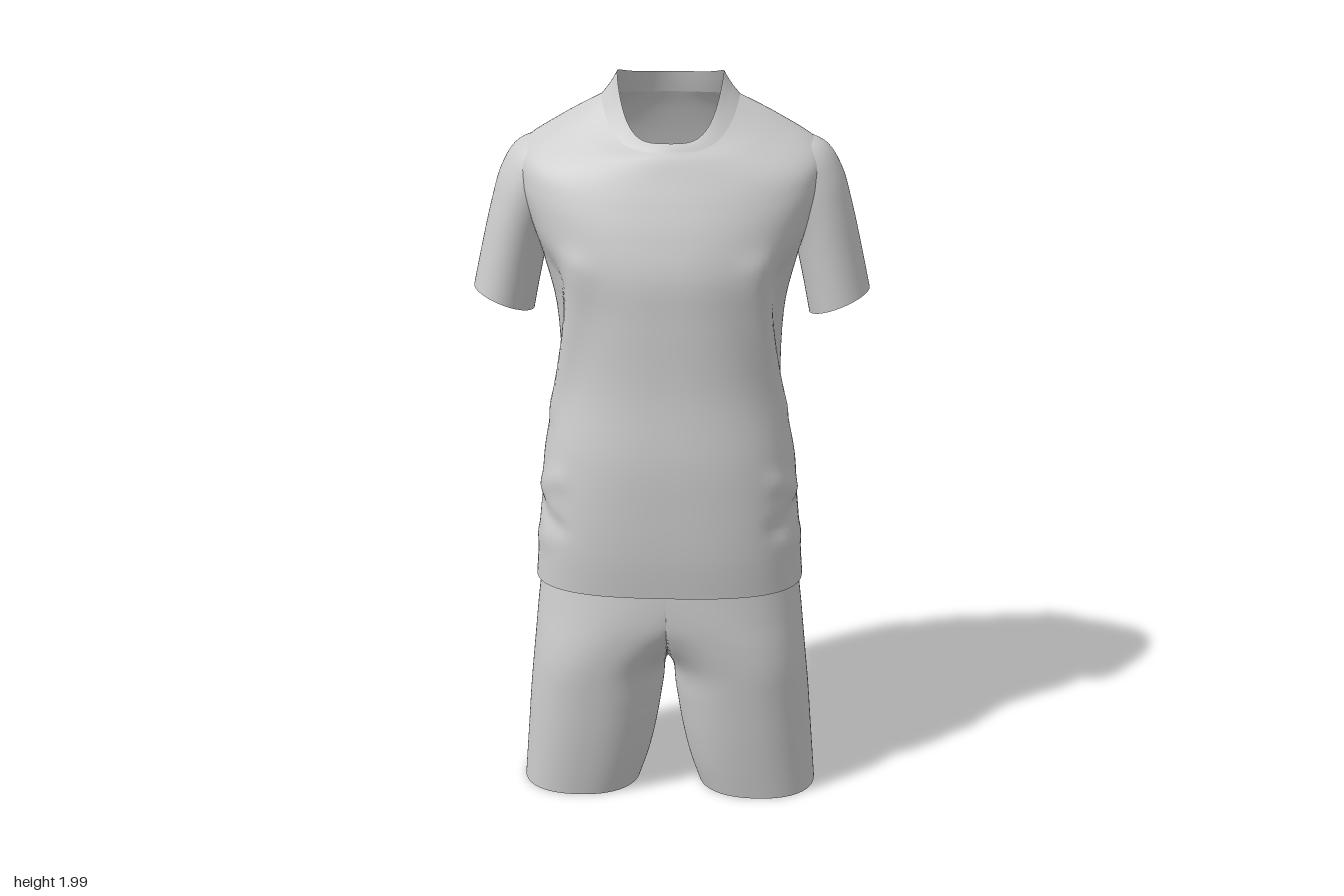
import * as THREE from 'three';

const COLS = 112;

// Smoothly interpolates a list of equal-length number rows, t in 0..1
function sampleRows(rows, t) {
  const f = t * (rows.length - 1);
  const i = Math.min(Math.floor(f), rows.length - 2);
  const at = (k) => rows[Math.max(0, Math.min(rows.length - 1, k))];
  const w = f - i;
  return rows[i].map((p1, k) => {
    const p0 = at(i - 1)[k], p2 = at(i + 1)[k], p3 = at(i + 2)[k];
    const m1 = (p2 - p0) / 2, m2 = (p3 - p1) / 2;
    return p1 + w * (m1 + w * (3 * (p2 - p1) - 2 * m1 - m2 + w * (2 * (p1 - p2) + m1 + m2)));
  });
}

// Closed rings of points stacked upwards; point(t, angle) gives [x, y, z], angle 0 faces the front
function loft(rowCount, point, keep = () => true) {
  const pos = [], index = [];
  for (let i = 0; i <= rowCount; i++) {
    for (let j = 0; j < COLS; j++) pos.push(...point(i / rowCount, (j / COLS) * Math.PI * 2));
  }
  const face = (a, b, c) => { if (keep(pos[a * 3], pos[b * 3], pos[c * 3])) index.push(a, b, c); };
  for (let i = 0; i < rowCount; i++) {
    for (let j = 0; j < COLS; j++) {
      const a = i * COLS + j, b = i * COLS + (j + 1) % COLS;
      face(a, b, a + COLS);
      face(b, b + COLS, a + COLS);
    }
  }
  const g = new THREE.BufferGeometry();
  g.setAttribute('position', new THREE.Float32BufferAttribute(pos, 3));
  g.setIndex(index);
  g.computeVertexNormals();
  return g;
}

// Radius factor that turns a circle into a rounded square as n grows above 2
const squareness = (s, c, n) => (Math.abs(s) ** n + Math.abs(c) ** n) ** (-1 / n);

// Cloth folds: angle and height of both ends, width, depth (same on both sides)
const FOLDS = [
  [0.7, 1.52, 1.2, 1.14, 0.045, 0.012],
  [1.1, 1.48, 1.7, 1.08, 0.06, -0.02],
  [0.9, 0.95, 1.4, 0.89, 0.03, 0.008],
  [0.85, 0.82, 1.5, 0.89, 0.025, -0.008],
  [1.0, 0.77, 1.8, 0.75, 0.025, 0.004],
  [2.65, 1.62, 2.75, 1.0, 0.05, 0.012],
  [2.15, 1.5, 2.3, 1.1, 0.06, -0.016],
  [2.4, 1.03, 1.9, 0.97, 0.04, 0.008],
  [2.4, 0.92, 3.14, 0.9, 0.04, 0.006],
];

function foldDepth(angle, y) {
  const u = Math.abs(angle > Math.PI ? angle - Math.PI * 2 : angle) * 0.3;
  let sum = 0;
  for (const [a1, y1, a2, y2, width, depth] of FOLDS) {
    const dx = (a2 - a1) * 0.3, dy = y2 - y1, px = u - a1 * 0.3, py = y - y1;
    const k = THREE.MathUtils.clamp((px * dx + py * dy) / (dx * dx + dy * dy), 0, 1);
    const d2 = (px - k * dx) ** 2 + (py - k * dy) ** 2;
    sum += depth * Math.exp(-d2 / (width * width));
  }
  return sum;
}

// Body rings: side, front and back height, half width, front z, widest z, back z, front and back squareness
const BODY = [
  [0.645, 0.64, 0.58, 0.367, 0.25, 0.02, -0.205, 2.8, 2.3],
  [0.76, 0.75, 0.72, 0.358, 0.262, 0.02, -0.215, 2.8, 2.3],
  [0.88, 0.88, 0.87, 0.348, 0.267, 0.02, -0.25, 2.7, 2.2],
  [1.02, 1.02, 1.02, 0.337, 0.267, 0.02, -0.265, 2.5, 2.1],
  [1.2, 1.2, 1.2, 0.308, 0.252, 0.01, -0.265, 2.4, 2.1],
  [1.38, 1.38, 1.38, 0.306, 0.25, 0, -0.267, 2.4, 2.1],
  [1.52, 1.5, 1.52, 0.335, 0.248, -0.015, -0.262, 2.4, 2.1],
  [1.64, 1.6, 1.64, 0.372, 0.225, -0.03, -0.25, 2.5, 2.3],
  [1.74, 1.68, 1.74, 0.4, 0.197, -0.045, -0.232, 2.5, 2.5],
  [1.815, 1.74, 1.815, 0.39, 0.172, -0.05, -0.212, 2.4, 2.4],
  [1.885, 1.79, 1.885, 0.285, 0.15, -0.045, -0.188, 2.2, 2.1],
  [1.94, 1.81, 1.93, 0.18, 0.135, -0.03, -0.168, 2.1, 2],
];
const COLLAR = [
  BODY[BODY.length - 1],
  [1.97, 1.82, 1.958, 0.156, 0.128, -0.025, -0.16, 2.1, 2],
  [2.0, 1.83, 1.985, 0.138, 0.118, -0.02, -0.153, 2.1, 2],
];

function shirtPoint(rows, folds) {
  return (t, angle) => {
    const [ySide, yFront, yBack, half, front, zc, back, nFront, nBack] = sampleRows(rows, t);
    const s = Math.sin(angle), c = Math.cos(angle);
    const r = squareness(s, c, c > 0 ? nFront : nBack);
    const drop = THREE.MathUtils.smoothstep(Math.abs(c), 0, 1);
    const y = ySide + ((c > 0 ? yFront : yBack) - ySide) * drop;
    const d = folds ? foldDepth(angle, y) : 0;
    return [s * (half * r + d), y, zc + c * (Math.abs((c > 0 ? front : back) - zc) * r + d)];
  };
}

// Sleeve rings: outer x and y, inner x and y, half depth, centre z
const SLEEVE = [
  [0.532, 1.43, 0.372, 1.362, 0.113, -0.05],
  [0.505, 1.55, 0.35, 1.47, 0.117, -0.052],
  [0.478, 1.66, 0.325, 1.57, 0.121, -0.054],
  [0.45, 1.75, 0.29, 1.64, 0.122, -0.056],
  [0.402, 1.818, 0.25, 1.69, 0.115, -0.056],
  [0.31, 1.85, 0.2, 1.73, 0.09, -0.055],
];

function sleevePoint(side) {
  return (t, angle) => {
    const [ox, oy, ix, iy, depth, zc] = sampleRows(SLEEVE, t);
    const s = Math.sin(angle) * side, c = Math.cos(angle);
    return [side * ((ox + ix) / 2 + s * (ox - ix) / 2), (oy + iy) / 2 + s * (oy - iy) / 2, zc + c * depth];
  };
}

// Shorts rings: height, inner x, outer x, front z, back z
const LEG = [
  [0.012, 0.085, 0.415, 0.175, -0.2],
  [0.1, 0.056, 0.408, 0.19, -0.2],
  [0.2, 0.034, 0.4, 0.205, -0.2],
  [0.3, 0.018, 0.392, 0.217, -0.2],
  [0.4, 0.0, 0.382, 0.228, -0.2],
  [0.48, -0.09, 0.374, 0.235, -0.2],
  [0.56, -0.24, 0.366, 0.24, -0.2],
  [0.66, -0.34, 0.354, 0.238, -0.195],
  [0.78, -0.34, 0.34, 0.23, -0.19],
  [0.9, -0.33, 0.33, 0.225, -0.19],
];

// Each half of the shorts stops at the middle, where both halves meet
function legPoint(side) {
  return (t, angle) => {
    const [y, inner, outer, front, back] = sampleRows(LEG, t);
    const s = Math.sin(angle) * side, c = Math.cos(angle), zc = 0.02;
    const r = squareness(s, c, c > 0 ? 2.3 : 2.05);
    const x = (inner + outer) / 2 + s * r * (outer - inner) / 2;
    return [side * Math.max(0, x), y, zc + c * r * Math.abs((c > 0 ? front : back) - zc)];
  };
}

export function createModel() {
  const cloth = new THREE.MeshStandardMaterial({ color: 0xcccccc, side: THREE.DoubleSide });
  cloth.name = 'light grey cloth';
  const model = new THREE.Group();
  model.name = 'sportsKit';
  const shirt = new THREE.Group();
  shirt.name = 'shirt';
  const shorts = new THREE.Group();
  shorts.name = 'shorts';
  model.add(shirt, shorts);

  const add = (parent, name, geometry) => {
    const mesh = new THREE.Mesh(geometry, cloth);
    mesh.name = name;
    parent.add(mesh);
  };

  add(shirt, 'shirtBody', loft(90, shirtPoint(BODY, true)));
  add(shirt, 'collar', loft(8, shirtPoint(COLLAR, false)));
  const notMiddle = (a, b, c) => a !== 0 || b !== 0 || c !== 0;
  for (const [side, label] of [[1, 'left'], [-1, 'right']]) {
    add(shirt, label + 'Sleeve', loft(30, sleevePoint(side)));
    add(shorts, label + 'ShortsLeg', loft(50, legPoint(side), notMiddle));
  }
  return model;
}
